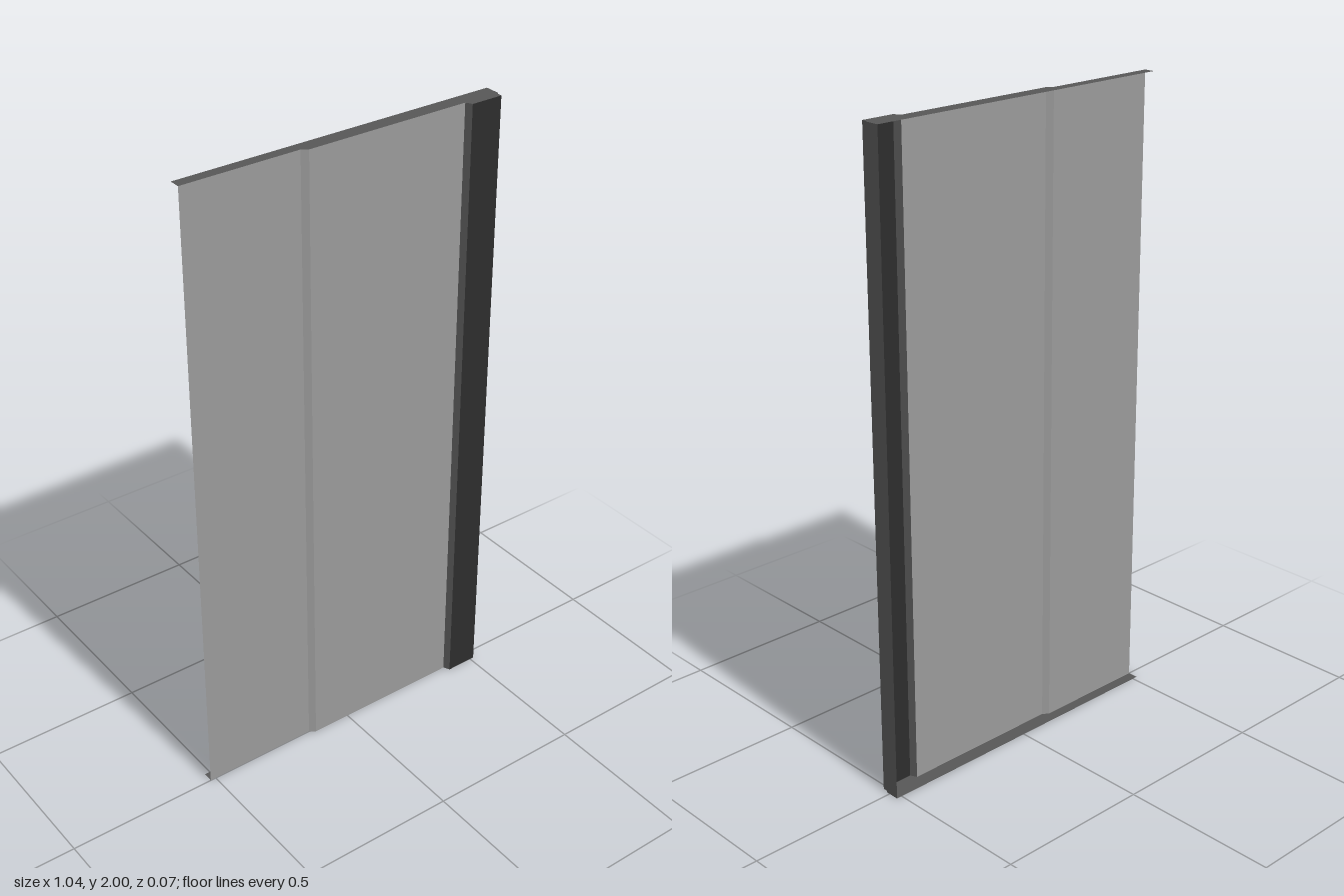
import * as THREE from 'three';

const HEIGHT = 2;
const BACK = -0.034;

// Cross-section of the folded sheet as [x, z], from the free edge to the side return
const PROFILE = [
  [-0.518, 0], [-0.144, 0], [-0.126, 0.013], [0.4, 0.013], [0.41, 0.033],
  [0.513, 0.033], [0.513, 0.017], [0.518, 0.012], [0.518, BACK],
];

const flat = (name, color) => {
  const m = new THREE.MeshStandardMaterial({ color, side: THREE.DoubleSide });
  m.name = name;
  return m;
};

// Upright flat-shaded sheet following a run of profile points
function foldedSheet(points) {
  const pos = [];
  for (let i = 0; i < points.length - 1; i++) {
    const [x0, z0] = points[i], [x1, z1] = points[i + 1];
    pos.push(x0, 0, z0, x1, 0, z1, x1, HEIGHT, z1);
    pos.push(x0, 0, z0, x1, HEIGHT, z1, x0, HEIGHT, z0);
  }
  const g = new THREE.BufferGeometry();
  g.setAttribute('position', new THREE.Float32BufferAttribute(pos, 3));
  g.computeVertexNormals();
  return g;
}

export function createModel() {
  const group = new THREE.Group();
  group.name = 'foldedPanel';
  const panelGrey = flat('panel grey', 0x999999);
  const stripDark = flat('strip charcoal', 0x2d2d2d);
  const edgeGrey = flat('edge grey', 0x575757);

  const add = (name, geometry, material) => {
    const mesh = new THREE.Mesh(geometry, material);
    mesh.name = name;
    group.add(mesh);
    return mesh;
  };

  // Main face with its shallow step, and the raised dark strip
  add('panelFace', foldedSheet(PROFILE.slice(0, 4)), panelGrey);
  add('stripStep', foldedSheet(PROFILE.slice(3, 5)), edgeGrey);
  add('darkStrip', foldedSheet(PROFILE.slice(4, 6)), stripDark);
  add('sideReturn', foldedSheet(PROFILE.slice(5)), edgeGrey);

  // Top and bottom flanges fill the profile back to the rear edge
  const outline = [...PROFILE, [-0.518, BACK]].map(([x, z]) => new THREE.Vector2(x, -z));
  const flange = new THREE.ShapeGeometry(new THREE.Shape(outline)).rotateX(-Math.PI / 2);
  add('bottomFlange', flange.clone().rotateX(0), edgeGrey);
  add('topFlange', flange, edgeGrey).position.y = HEIGHT;

  return group;
}
